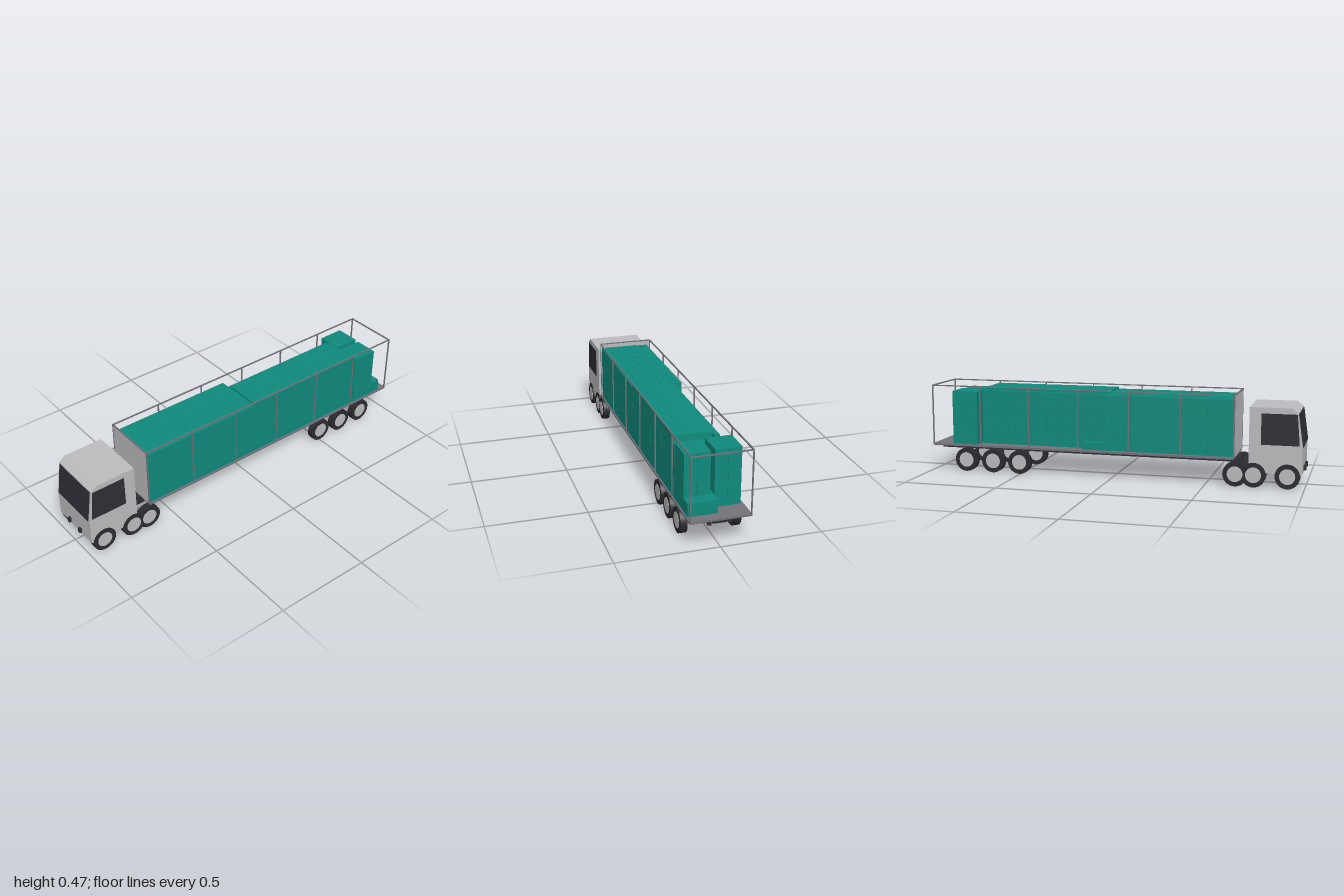
import * as THREE from 'three';

const mat = (name, color) => {
  const m = new THREE.MeshStandardMaterial({ color });
  m.name = name;
  return m;
};

export function createModel() {
  const paint = mat('lightGreyPaint', 0xbcbcbf);
  const dark = mat('darkChassis', 0x2e2e35);
  const rubber = mat('tyreRubber', 0x2a2a30);
  const steel = mat('trailerSteel', 0x73727a);
  const teal = mat('tealCargo', 0x0f8a7c);
  const model = new THREE.Group();
  model.name = 'cargoTruck';

  const group = (name, parent = model) => {
    const g = new THREE.Group();
    g.name = name;
    parent.add(g);
    return g;
  };
  const add = (parent, name, geo, material) => {
    const m = new THREE.Mesh(geo, material);
    m.name = name;
    parent.add(m);
    return m;
  };
  // Box given by its limits on each axis
  const box = (parent, name, material, x0, x1, y0, y1, z0, z1) => {
    const m = add(parent, name, new THREE.BoxGeometry(x1 - x0, y1 - y0, z1 - z0), material);
    m.position.set((x0 + x1) / 2, (y0 + y1) / 2, (z0 + z1) / 2);
    return m;
  };
  // Side profile extruded across the width
  const profile = (parent, name, material, pts, z0, z1) => {
    const shape = new THREE.Shape(pts.map(([x, y]) => new THREE.Vector2(x, y)));
    const m = add(parent, name, new THREE.ExtrudeGeometry(shape, { depth: z1 - z0, bevelEnabled: false }), material);
    m.position.z = z0;
    return m;
  };

  // Cab with slanted windscreen and side windows
  const cab = group('cab');
  profile(cab, 'cabBody', paint, [[-0.987, 0.076], [-0.72, 0.076], [-0.72, 0.41],
    [-0.93, 0.41], [-0.962, 0.385], [-0.987, 0.215]], -0.145, 0.145);
  profile(cab, 'windscreen', dark, [[-0.991, 0.215], [-0.985, 0.215], [-0.961, 0.38], [-0.967, 0.38]], -0.135, 0.135);
  for (const s of [-1, 1]) {
    const z = s * 0.145;
    profile(cab, 'sideWindow', dark, [[-0.972, 0.222], [-0.78, 0.222], [-0.78, 0.38], [-0.958, 0.38]],
      z - 0.002, z + 0.002);
  }

  // Tractor and trailer chassis
  const chassis = group('chassis');
  for (const s of [-1, 1]) {
    const rail = (name, x0, x1, y0, y1) =>
      box(chassis, name, dark, x0, x1, y0, y1, s * 0.049 - 0.008, s * 0.049 + 0.008);
    rail('tractorRail', -1, -0.62, 0.085, 0.111);
    rail('trailerRail', -0.67, 0.985, 0.111, 0.137);
  }
  box(chassis, 'centreBeam', dark, -0.675, 0.985, 0.117, 0.137, -0.034, 0.034);

  // Wheels: tyre with grey hub disc on the outer side
  const wheels = group('wheels');
  const tyreGeo = new THREE.CylinderGeometry(0.063, 0.063, 0.034, 32).rotateX(Math.PI / 2);
  const hubGeo = new THREE.CylinderGeometry(0.04, 0.04, 0.036, 32).rotateX(Math.PI / 2);
  for (const x of [-0.915, -0.745, -0.652, 0.505, 0.655, 0.808]) {
    for (const s of [-1, 1]) {
      const wheel = group('wheel', wheels);
      add(wheel, 'tyre', tyreGeo, rubber);
      add(wheel, 'hub', hubGeo, paint).position.z = s * 0.0005;
      wheel.position.set(x, 0.065, s * 0.132);
    }
  }

  // Trailer floor, headboard and open cage
  const trailer = group('trailer');
  box(trailer, 'floor', steel, -0.645, 1, 0.137, 0.147, -0.149, 0.149);
  box(trailer, 'headboard', paint, -0.647, -0.642, 0.147, 0.462, -0.146, 0.146);
  const t = 0.006;
  for (const s of [-1, 1]) {
    const z0 = s * 0.146 - t / 2, z1 = s * 0.146 + t / 2;
    box(trailer, 'topRail', steel, -0.648, 1, 0.461, 0.467, z0, z1);
    for (let i = 0; i <= 6; i++) {
      const x = -0.645 + i * 0.2737;
      box(trailer, 'post', steel, x - t / 2, x + t / 2, 0.147, 0.461, z0, z1);
    }
  }
  for (const x of [-0.645, 0.997]) {
    box(trailer, 'crossBar', steel, x - t / 2, x + t / 2, 0.461, 0.467, -0.143, 0.143);
  }

  // Cargo: each stack is a grid of cartons cut at the given x, y and z lines
  const cargo = group('cargo');
  const stack = (name, xs, ys, zs) => {
    const g = group(name, cargo), e = 0.0004;
    for (let i = 0; i + 1 < xs.length; i++)
      for (let j = 0; j + 1 < ys.length; j++)
        for (let k = 0; k + 1 < zs.length; k++)
          box(g, 'carton', teal, xs[i] + e, xs[i + 1] - e, ys[j] + e, ys[j + 1] - e, zs[k] + e, zs[k + 1] - e);
  };
  const steps = (a, b, n) => Array.from({ length: n + 1 }, (_, i) => a + (b - a) * i / n);
  const F = 0.147;

  // Forward section
  stack('forwardStack', steps(-0.64, 0.03, 5), [...steps(F, 0.415, 6), 0.443],
    [-0.062, -0.02, 0.02, 0.062, 0.1, 0.143]);
  stack('forwardSideStack', steps(-0.64, 0.03, 5), steps(F, 0.44, 8), [-0.125, -0.085, -0.062]);
  stack('lowSideCarton', [0.03, 0.16], [F, 0.187], [-0.125, -0.085]);

  // Middle section with a top layer
  stack('middleStack', [0.03, 0.16, 0.355, 0.55, 0.742], steps(F, 0.415, 4), [-0.055, 0.015, 0.08, 0.143]);
  stack('middleTopLayer', [0.03, 0.1, 0.31, 0.38, 0.45, 0.66, 0.725], [0.415, 0.453], [-0.05, 0.08, 0.143]);
  stack('middleSideStack', [0.03, 0.2, 0.37, 0.55, 0.735], steps(F, 0.438, 4), [-0.082, -0.055]);

  // Rear stacks and the low cartons at the tail
  stack('rearRightStack', [0.747, 0.888], [F, 0.183, 0.256, 0.328, 0.4, 0.435], [-0.135, -0.07, -0.005]);
  stack('rearLeftStack', [0.747, 0.888], [0.215, 0.25, 0.323, 0.393, 0.431], [0.015, 0.08, 0.143]);
  stack('tailCartons', [0.747, 0.948], [F, 0.215], [-0.003, 0.07, 0.143]);

  return model;
}
